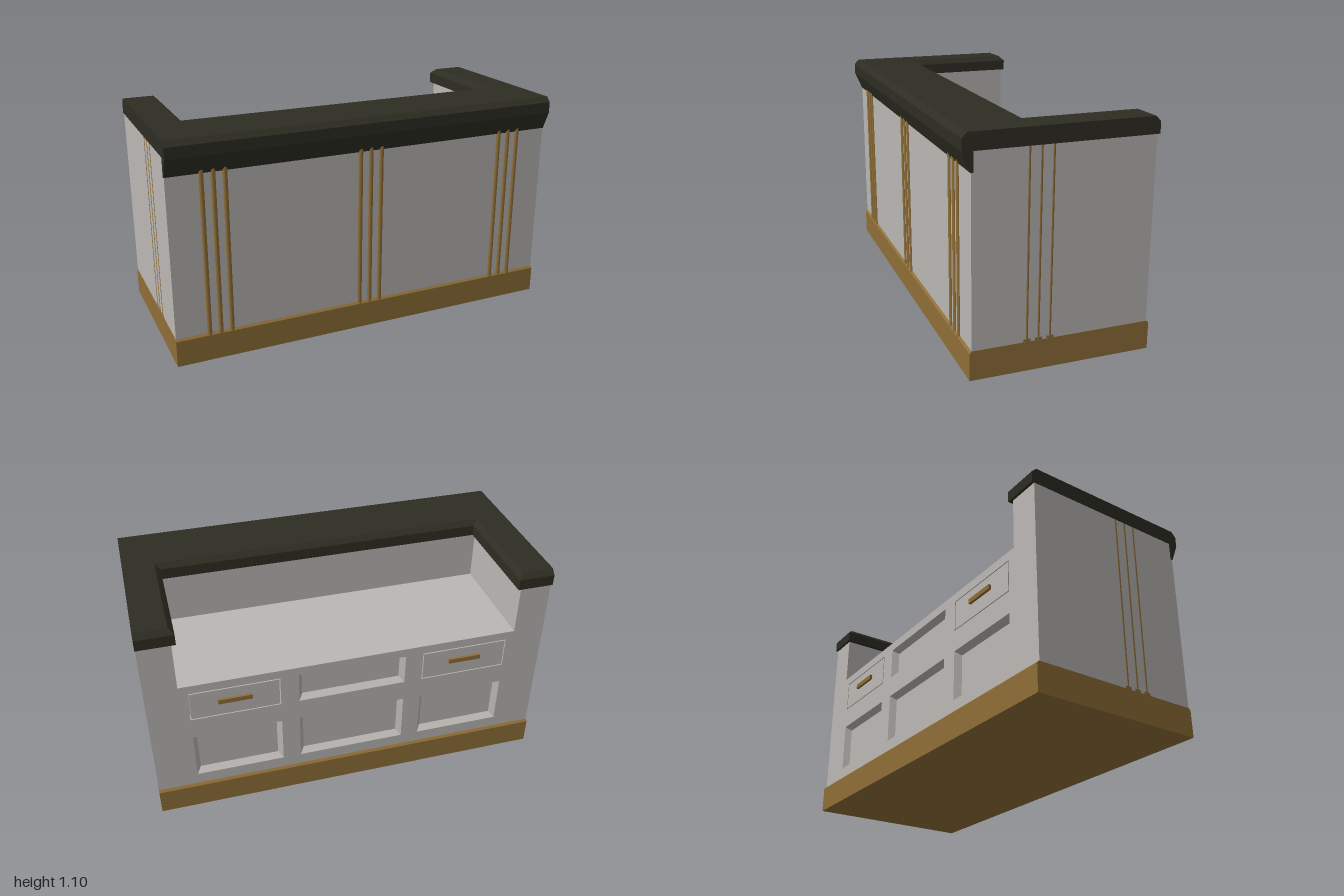
import * as THREE from 'three';

const mat = (name, color) => {
  const m = new THREE.MeshStandardMaterial({ color });
  m.name = name;
  return m;
};

// Stack plan outlines (counter-clockwise from above, [x, z]) at rising heights
function loft(levels, capped = true) {
  const pos = [];
  const put = (y, p) => pos.push(p[0], y, p[1]);
  for (let k = 0; k < levels.length - 1; k++) {
    const [ya, a] = levels[k], [yb, b] = levels[k + 1];
    a.forEach((p, i) => {
      const j = (i + 1) % a.length;
      put(ya, p); put(ya, a[j]); put(yb, b[j]);
      put(ya, p); put(yb, b[j]); put(yb, b[i]);
    });
  }
  if (capped) {
    const cap = ([y, pts], flip) => {
      const flat = pts.map(([x, z]) => new THREE.Vector2(x, -z));
      for (const f of THREE.ShapeUtils.triangulateShape(flat, [])) {
        (flip ? [f[2], f[1], f[0]] : f).forEach(i => put(y, pts[i]));
      }
    };
    cap(levels[0], true);
    cap(levels[levels.length - 1], false);
  }
  const g = new THREE.BufferGeometry();
  g.setAttribute('position', new THREE.Float32BufferAttribute(pos, 3));
  g.computeVertexNormals();
  return g;
}

// Plan outlines
const rect = (x0, x1, back, front) => [[x0, front], [x1, front], [x1, back], [x0, back]];
const uShape = (x, back, front, ix, iz) => [
  [-x, front], [x, front], [x, back], [ix, back],
  [ix, iz], [-ix, iz], [-ix, back], [-x, back]];

export function createModel() {
  const group = new THREE.Group();
  const grey = mat('painted grey', 0xbab7b3);
  const brown = mat('bronze brown', 0x8f6e38);
  const dark = mat('dark stone', 0x2e2d23);

  const add = (name, geo, material, x = 0, y = 0, z = 0) => {
    const m = new THREE.Mesh(geo, material);
    m.name = name;
    m.position.set(x, y, z);
    group.add(m);
    return m;
  };

  // Plinth with a small chamfer along front and back
  add('plinth', loft([
    [0, rect(-1, 1, -0.45, 0.42)],
    [0.13, rect(-1, 1, -0.45, 0.42)],
    [0.14, rect(-1, 1, -0.44, 0.41)]]), brown);

  // Three-sided outer wall
  const wall = uShape(0.998, -0.437, 0.41, 0.84, 0.12);
  add('walls', loft([[0.12, wall], [1.03, wall]]), grey);

  // Chamfered counter top and its sloping front moulding
  const slab = uShape(1, -0.45, 0.45, 0.82, 0.105);
  add('counterTop', loft([
    [1.02, slab], [1.075, slab],
    [1.1, uShape(1, -0.425, 0.425, 0.845, 0.13)]]), dark);
  add('counterMoulding', loft([
    [0.93, rect(-1, 1, 0.4, 0.412)],
    [1.02, rect(-1, 1, 0.4, 0.45)]]), dark);

  // Inner desk block; its back face is the floor of the recesses
  const back = -0.437, depth = 0.03, deskTop = 0.765;
  add('desk', new THREE.BoxGeometry(1.68, deskTop - 0.12, 0.12 - back - depth), grey,
    0, (deskTop + 0.12) / 2, (0.12 + back + depth) / 2);

  // Cabinet face with openings
  const face = new THREE.Shape();
  face.moveTo(-0.84, 0.12).lineTo(0.84, 0.12).lineTo(0.84, deskTop).lineTo(-0.84, deskTop).closePath();
  const columns = [[-0.8, -0.36], [-0.27, 0.27], [0.36, 0.8]];
  const rows = [[0.2, 0.45], [0.56, 0.72]];
  columns.forEach(([x0, x1], c) => rows.forEach(([y0, y1], r) => {
    const hole = new THREE.Path();
    hole.moveTo(x0, y0).lineTo(x0, y1).lineTo(x1, y1).lineTo(x1, y0).closePath();
    face.holes.push(hole);
    const cx = (x0 + x1) / 2, cy = (y0 + y1) / 2;
    if (r === 1 && c !== 1) {
      // Flush drawer with a shadow gap and a bar handle
      add('drawer', new THREE.BoxGeometry(x1 - x0 - 0.01, y1 - y0 - 0.01, depth), grey,
        cx, cy, back + depth / 2);
      add('drawerHandle', new THREE.BoxGeometry(0.165, 0.024, 0.015), brown,
        cx, 0.65, back - 0.0055);
    } else {
      // Bevelled sides of a recessed panel
      const b = 0.022;
      const bevel = loft([
        [-depth, rect(x0 + b, x1 - b, y0 + b, y1 - b).reverse()],
        [0, rect(x0, x1, y0, y1).reverse()]], false);
      bevel.rotateX(-Math.PI / 2);
      add('panelBevel', bevel, grey, 0, 0, back);
    }
  }));
  add('cabinetFace', new THREE.ExtrudeGeometry(face, { depth, bevelEnabled: false }), grey, 0, 0, back);

  // Triple rods on the front
  const frontRod = new THREE.CylinderGeometry(0.012, 0.012, 0.83, 12);
  for (const cx of [-0.78, 0, 0.78]) {
    for (const dx of [-0.055, 0, 0.055]) {
      add('frontRod', frontRod, brown, cx + dx, 0.545, 0.408);
    }
  }

  // Triple rods sunk almost flush into each side, with small feet
  const sideRod = new THREE.CylinderGeometry(0.008, 0.008, 0.9, 12);
  const foot = new THREE.BoxGeometry(0.01, 0.014, 0.034);
  for (const s of [-1, 1]) {
    for (const z of [0.045, 0.1, 0.155]) {
      add('sideRod', sideRod, brown, s * 0.992, 0.575, z);
      add('sideRodFoot', foot, brown, s * 0.9945, 0.146, z);
    }
  }
  return group;
}
